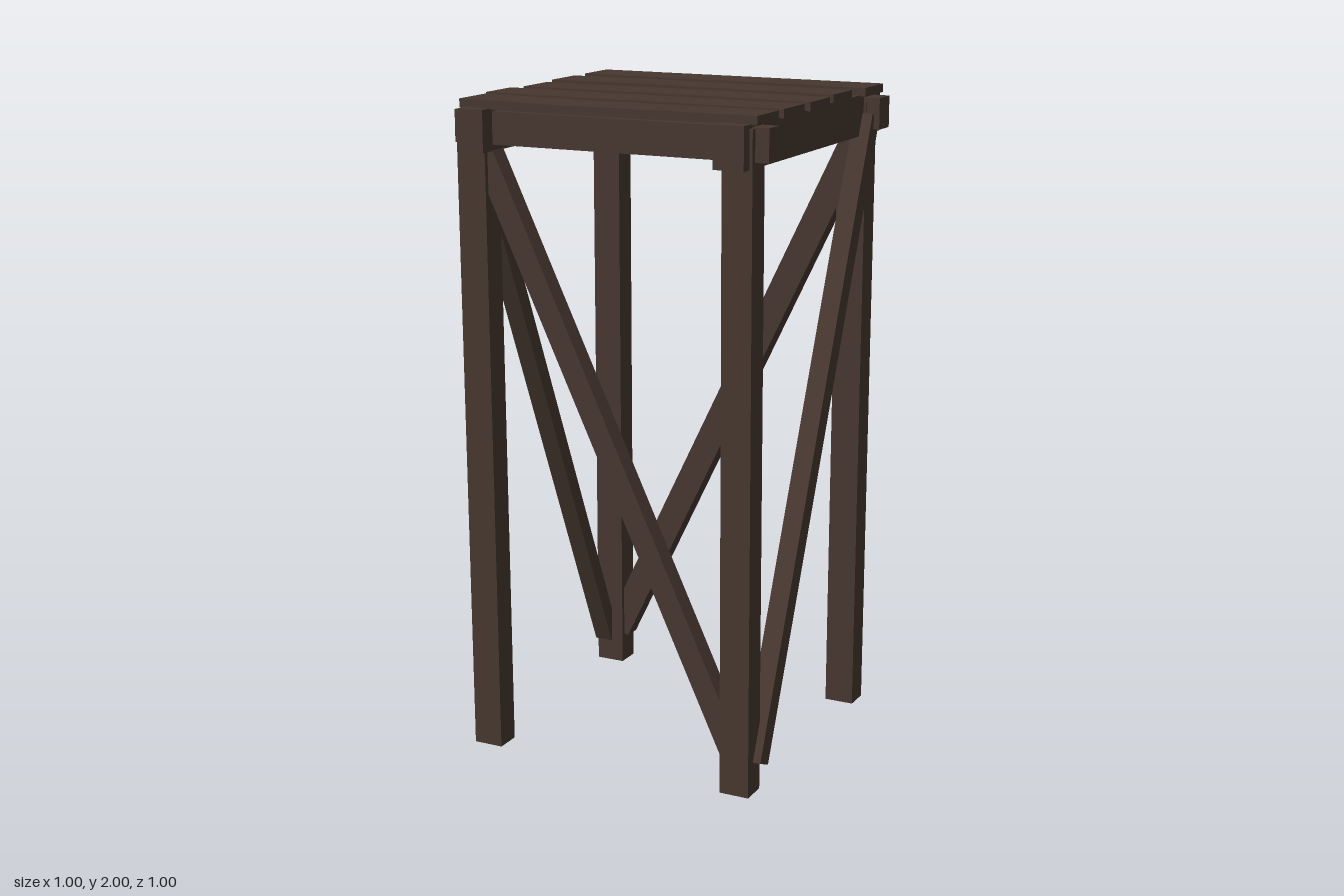
import * as THREE from 'three';

export function createModel() {
  const group = new THREE.Group();
  const wood = new THREE.MeshStandardMaterial({ color: 0x46372f });
  wood.name = 'darkWood';

  function add(name, geometry) {
    const mesh = new THREE.Mesh(geometry, wood);
    mesh.name = name;
    group.add(mesh);
    return mesh;
  }

  // Axis-aligned timber given by its limits
  function timber(name, x0, x1, y0, y1, z0, z1) {
    const mesh = add(name, new THREE.BoxGeometry(x1 - x0, y1 - y0, z1 - z0));
    mesh.position.set((x0 + x1) / 2, (y0 + y1) / 2, (z0 + z1) / 2);
  }

  // Apply a rule to every vertex, then facet the result
  function reshape(geometry, rule) {
    const p = geometry.attributes.position;
    const v = new THREE.Vector3();
    for (let i = 0; i < p.count; i++) {
      rule(v.fromBufferAttribute(p, i));
      p.setXYZ(i, v.x, v.y, v.z);
    }
    const flat = geometry.toNonIndexed();
    flat.computeVertexNormals();
    return flat;
  }

  // Legs lean slightly outwards: bottom centre, then top centre
  const legTop = 1.965;
  const legs = [
    ['frontRightLeg', -0.432, 0.414, -0.438, 0.424],
    ['frontLeftLeg', 0.411, 0.414, 0.412, 0.424],
    ['backLeftLeg', 0.411, -0.395, 0.412, -0.405],
    ['backRightLeg', -0.436, -0.395, -0.442, -0.405],
  ];
  for (const [name, bx, bz, tx, tz] of legs) {
    const geometry = new THREE.BoxGeometry(0.093, legTop, 0.08);
    add(name, reshape(geometry, (v) => {
      v.y += legTop / 2;
      const t = v.y / legTop;
      v.x += THREE.MathUtils.lerp(bx, tx, t);
      v.z += THREE.MathUtils.lerp(bz, tz, t);
    }));
  }

  // Top frame: two rails along x, two along z, crossing at the corners
  timber('frontRail', -0.5, 0.5, 1.872, 1.968, 0.382, 0.447);
  timber('backRail', -0.5, 0.5, 1.872, 1.968, -0.447, -0.367);
  timber('rightRail', -0.455, -0.374, 1.853, 1.977, -0.5, 0.5);
  timber('leftRail', 0.355, 0.449, 1.853, 1.977, -0.5, 0.5);

  // Diagonal brace between two points, one on each side
  function brace(name, from, to, width, depth) {
    const a = new THREE.Vector3(...from);
    const b = new THREE.Vector3(...to);
    const d = b.clone().sub(a);
    const alongX = Math.abs(d.x) > Math.abs(d.z);
    const size = alongX ? [width, d.length(), depth] : [depth, d.length(), width];
    const mesh = add(name, new THREE.BoxGeometry(...size));
    mesh.position.copy(a).add(b).multiplyScalar(0.5);
    mesh.quaternion.setFromUnitVectors(new THREE.Vector3(0, 1, 0), d.normalize());
  }
  brace('frontBrace', [0.4, 0.12, 0.418], [-0.41, 1.85, 0.418], 0.07, 0.06);
  brace('backBrace', [-0.415, 0.11, -0.4], [0.405, 1.81, -0.4], 0.086, 0.06);
  brace('leftBrace', [0.452, 0.09, 0.395], [0.452, 1.91, -0.385], 0.06, 0.06);
  brace('rightBrace', [-0.46, 0.08, -0.375], [-0.46, 1.84, 0.4], 0.05, 0.06);

  // Seat slats: ends in x, centre in z, then where and how far each bends
  const slats = [
    [-0.5, 0.466, -0.407, 0, 0],
    [-0.5, 0.45, -0.193, -0.15, -0.014],
    [-0.48, 0.466, 0.016, 0.13, -0.016],
    [-0.5, 0.466, 0.201, 0, 0],
    [-0.48, 0.466, 0.38, -0.15, 0.019],
  ];
  slats.forEach(([x0, x1, z, bendX, bend], i) => {
    const geometry = new THREE.BoxGeometry(2, 0.026, 0.144, 2, 1, 1);
    add('seatSlat' + (i + 1), reshape(geometry, (v) => {
      const middle = Math.abs(v.x) < 0.5;
      v.z += z + (middle ? bend : 0);
      v.x = middle ? bendX : v.x < 0 ? x0 : x1;
      v.y += 1.987;
    }));
  });

  return group;
}
